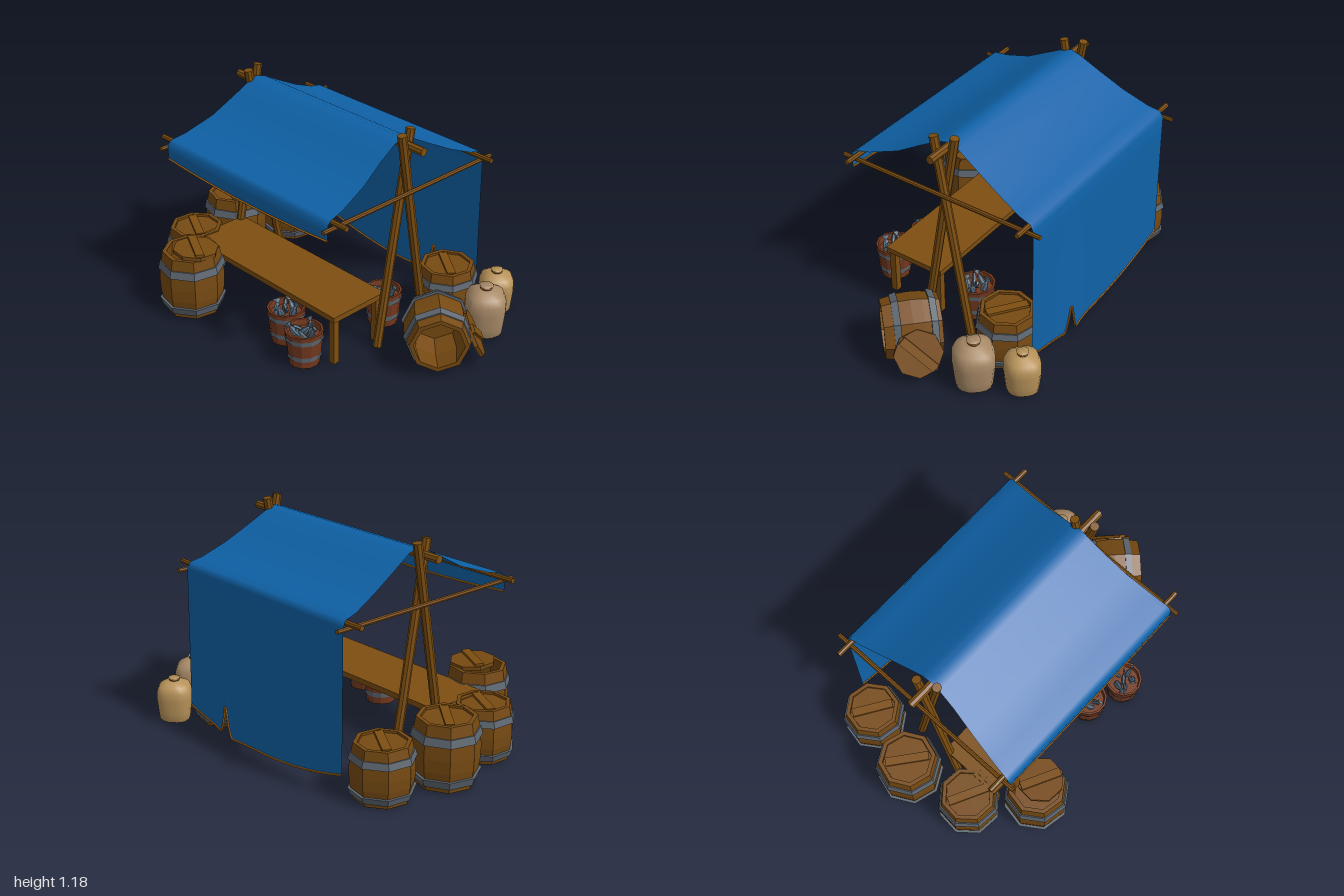
import * as THREE from 'three';

const mat = (color, flatShading = true, side = THREE.FrontSide) =>
  new THREE.MeshStandardMaterial({ color, flatShading, side });
const wood = mat(0x7d4e10);
const barrelWood = mat(0x774a12);
const iron = mat(0x5d6670);
const bucketWood = mat(0x74391f);
const fishSkin = mat(0x4f6678);
const cloth = mat(0x0f62a8, false, THREE.DoubleSide);
const hemWood = mat(0xb8741c);
const CX = -0.05; // middle of the stall frame in x

function add(parent, name, geo, material, x = 0, y = 0, z = 0) {
  const m = new THREE.Mesh(geo, material);
  m.name = name;
  m.position.set(x, y, z);
  parent.add(m);
  return m;
}

// Round timber between two points
function rod(parent, name, a, b, r, sides = 8) {
  const p = new THREE.Vector3(...a), q = new THREE.Vector3(...b);
  const d = q.clone().sub(p);
  const m = add(parent, name, new THREE.CylinderGeometry(r, r, d.length(), sides), wood);
  m.position.copy(p).add(q).multiplyScalar(0.5);
  m.quaternion.setFromUnitVectors(new THREE.Vector3(0, 1, 0), d.normalize());
  return m;
}

const lathe = (pts, sides) =>
  new THREE.LatheGeometry(pts.map(p => new THREE.Vector2(...p)), sides);

// Round lid with a plank nailed across
function makeLid(r) {
  const g = new THREE.Group();
  g.name = 'barrelLid';
  add(g, 'lidDisc', new THREE.CylinderGeometry(r, r, 0.02, 8), barrelWood);
  add(g, 'lidPlank', new THREE.BoxGeometry(0.045, 0.016, r * 1.8), wood, 0, 0.016, 0);
  return g;
}

// Eight-sided barrel standing on y = 0
function makeBarrel(h, r, open) {
  const g = new THREE.Group();
  g.name = 'barrel';
  const end = r * 0.88, inner = r * 0.75;
  const floor = open ? 0.03 : h - 0.025;
  const inside = open ? [[inner, h], [r * 0.86, h / 2], [inner, floor]] : [[inner, h], [inner, floor]];
  add(g, 'barrelBody', lathe([[0, 0], [end, 0], [r * 0.98, h * 0.3], [r, h * 0.5],
    [r * 0.98, h * 0.7], [end, h], ...inside, [0, floor]], 8), barrelWood);
  for (const t of [0.13, 0.77]) {
    const lo = t < 0.5 ? 0.93 : 1.01, hi = t < 0.5 ? 1.01 : 0.95;
    add(g, 'barrelHoop', lathe([[r * 0.85, h * (t - 0.06)], [r * lo + 0.004, h * (t - 0.06)],
      [r * hi + 0.004, h * (t + 0.06)], [r * 0.85, h * (t + 0.06)]], 8), iron);
  }
  if (!open) {
    const lid = makeLid(inner * 0.99);
    lid.position.y = h - 0.022;
    lid.rotation.y = 0.8;
    g.add(lid);
  }
  return g;
}

function makeBucket() {
  const g = new THREE.Group();
  g.name = 'fishBucket';
  add(g, 'bucketBody', lathe([[0, 0], [0.08, 0], [0.1, 0.19], [0.088, 0.19], [0.084, 0.155], [0, 0.155]], 12), bucketWood);
  for (const y of [0.055, 0.155]) {
    const r = 0.083 + y * 0.105;
    add(g, 'bucketHoop', new THREE.CylinderGeometry(r + 0.003, r, 0.026, 12, 1, true), iron, 0, y, 0);
  }
  // Fish heaped in the bucket, tails up
  for (let i = 0; i < 6; i++) {
    const fish = new THREE.Group();
    fish.name = 'fish';
    add(fish, 'fishBody', new THREE.SphereGeometry(0.02, 6, 5), fishSkin).scale.set(0.6, 2, 1);
    add(fish, 'fishTail', new THREE.ConeGeometry(0.022, 0.035, 4), fishSkin, 0, 0.042, 0).scale.x = 0.3;
    fish.children[1].rotation.x = Math.PI;
    const a = i * 2.4, d = i ? 0.045 : 0;
    fish.position.set(Math.sin(a) * d, 0.172, Math.cos(a) * d);
    fish.rotation.set(0.75 * Math.cos(a), a, -0.75 * Math.sin(a));
    g.add(fish);
  }
  return g;
}

// Tied sack with a soft, slightly square body
function makeSack(h, r, color) {
  const g = new THREE.Group();
  g.name = 'sack';
  const geo = lathe([[0, 0], [0.75, 0], [0.88, 0.06], [0.93, 0.25], [1, 0.55], [0.99, 0.73], [0.85, 0.88],
    [0.5, 0.96], [0.24, 0.98], [0.2, 1], [0.33, 1.05], [0, 1.03]].map(([x, y]) => [x * r, y * h]), 20);
  const p = geo.attributes.position;
  for (let i = 0; i < p.count; i++) {
    const a = Math.atan2(p.getX(i), p.getZ(i));
    const k = 1 + 0.05 * Math.cos(4 * a) + 0.02 * Math.sin(3 * a);
    p.setX(i, p.getX(i) * k);
    p.setZ(i, p.getZ(i) * k);
  }
  geo.computeVertexNormals();
  add(g, 'sackBody', geo, mat(color, false));
  const tie = add(g, 'sackTie', new THREE.TorusGeometry(r * 0.23, 0.007, 6, 12), wood, 0, h, 0);
  tie.rotation.x = Math.PI / 2;
  return g;
}

// Cloth over the ridge: rows of [z, y, half width], front hem to back hem
function makeCanopy() {
  const g = new THREE.Group();
  g.name = 'canopy';
  const rows = [[0.505, 0.8, 0.6], [0.508, 0.845, 0.6], [0.504, 0.885, 0.6], [0.48, 0.903, 0.597],
    [0.4, 0.918, 0.587], [0.235, 0.977, 0.562], [0.1, 1.055, 0.543], [0, 1.11, 0.535], [-0.055, 1.127, 0.535],
    [-0.11, 1.11, 0.535], [-0.22, 1.05, 0.548], [-0.36, 0.977, 0.566], [-0.5, 0.918, 0.588],
    [-0.57, 0.903, 0.597], [-0.588, 0.87, 0.6]];
  const top = rows.length, down = 8, cols = 48;
  const geo = new THREE.PlaneGeometry(1, 1, cols, top + down - 1);
  const p = geo.attributes.position;
  const hems = [[], []];
  for (let i = 0; i < p.count; i++) {
    const row = Math.floor(i / (cols + 1)), u = (i % (cols + 1)) / cols * 2 - 1;
    let [z, y, w] = rows[Math.min(row, top - 1)];
    const x = CX + u * w;
    if (row < 2) y -= 0.025 * (1 - u * u) * (1 - row / 2);
    if (row >= top) {
      // Hanging back sheet with a curved, torn hem
      const t = (row - top + 1) / down;
      const tear = Math.max(0, 1 - Math.abs(x - 0.225) / 0.04);
      const hem = 0.035 + 0.24 * x * x + 0.16 * tear;
      y += (hem - y) * t;
      z -= 0.008 * t + 0.02 * t * t * Math.exp(-(((x - 0.2) / 0.1) ** 2));
    }
    p.setXYZ(i, x, y, z);
    if (row === 0) hems[0].push(new THREE.Vector3(x, y, z));
    if (row === top + down - 1) hems[1].push(new THREE.Vector3(x, y, z));
  }
  geo.computeVertexNormals();
  add(g, 'canopyCloth', geo, cloth);
  for (const pts of hems)
    add(g, 'canopyHem', new THREE.TubeGeometry(new THREE.CatmullRomCurve3(pts), 96, 0.006, 5), hemWood);
  return g;
}

export function createModel() {
  const root = new THREE.Group();
  root.name = 'marketStall';

  // Crossed posts and side rails at both ends
  const frame = new THREE.Group();
  frame.name = 'frame';
  root.add(frame);
  for (const s of [-1, 1]) {
    const x = CX + s * 0.56;
    rod(frame, 'post', [x - 0.018, 0, 0.1], [x - 0.018, 1.17, -0.1], 0.024);
    rod(frame, 'post', [x + 0.018, 0, -0.21], [x + 0.018, 1.17, -0.002], 0.024);
    rod(frame, 'sideRail', [CX + s * 0.61, 0.865, 0.545], [CX + s * 0.61, 0.865, -0.635], 0.012);
  }
  rod(frame, 'ridgeBeam', [-0.727, 1.1, -0.053], [0.626, 1.1, -0.053], 0.022);
  for (const z of [0.465, -0.555]) rod(frame, 'eaveRail', [-0.74, 0.885, z], [0.635, 0.885, z], 0.014);
  root.add(makeCanopy());

  // Counter
  const table = new THREE.Group();
  table.name = 'table';
  root.add(table);
  add(table, 'tableTop', new THREE.BoxGeometry(1.11, 0.03, 0.355), wood, -0.085, 0.27, 0.208);
  for (const x of [-0.61, 0.44])
    for (const z of [0.06, 0.358])
      add(table, 'tableLeg', new THREE.BoxGeometry(0.036, 0.255, 0.036), wood, x, 0.1275, z);

  // Standing barrels: x, z, height, radius, turn
  for (const [x, z, h, r, turn] of [[-0.735, -0.415, 0.29, 0.163, 0.2], [-0.82, -0.07, 0.345, 0.172, 0.1],
    [-0.735, 0.285, 0.29, 0.163, 0.3], [0.5, -0.41, 0.29, 0.163, 0.15]]) {
    const b = makeBarrel(h, r, false);
    b.position.set(x, 0, z);
    b.rotation.y = turn;
    root.add(b);
  }

  // Open barrel with its lid laid loosely on top
  const front = makeBarrel(0.345, 0.172, true);
  front.position.set(-0.47, 0, 0.53);
  front.rotation.y = 0.2;
  root.add(front);
  const looseLid = makeLid(0.122);
  looseLid.position.set(-0.435, 0.355, 0.525);
  looseLid.rotation.set(0, 1.1, -0.05);
  root.add(looseLid);

  // Open barrel lying on its side, lid leaning against it
  const up = new THREE.Vector3(0, 1, 0);
  const axis = new THREE.Vector3(0.72, 0, 0.69).normalize();
  const lying = makeBarrel(0.29, 0.17, true);
  lying.quaternion.setFromUnitVectors(up, axis);
  lying.position.set(0.785, 0.18, -0.025).addScaledVector(axis, -0.145);
  root.add(lying);
  const leaning = makeLid(0.125);
  leaning.quaternion.setFromUnitVectors(up, new THREE.Vector3(0.62, 0.42, -0.66).normalize());
  leaning.position.set(0.905, 0.155, -0.165);
  root.add(leaning);

  // Buckets of fish
  for (const [x, z] of [[0.115, 0.385], [0.325, 0.455], [0.335, -0.1]]) {
    const b = makeBucket();
    b.position.set(x, 0, z);
    b.rotation.y = x * 7;
    root.add(b);
  }

  // Sacks
  const tall = makeSack(0.265, 0.112, 0xa98b68);
  tall.position.set(0.775, 0, -0.405);
  const small = makeSack(0.227, 0.097, 0xb8935a);
  small.position.set(0.668, 0, -0.62);
  root.add(tall, small);
  return root;
}
